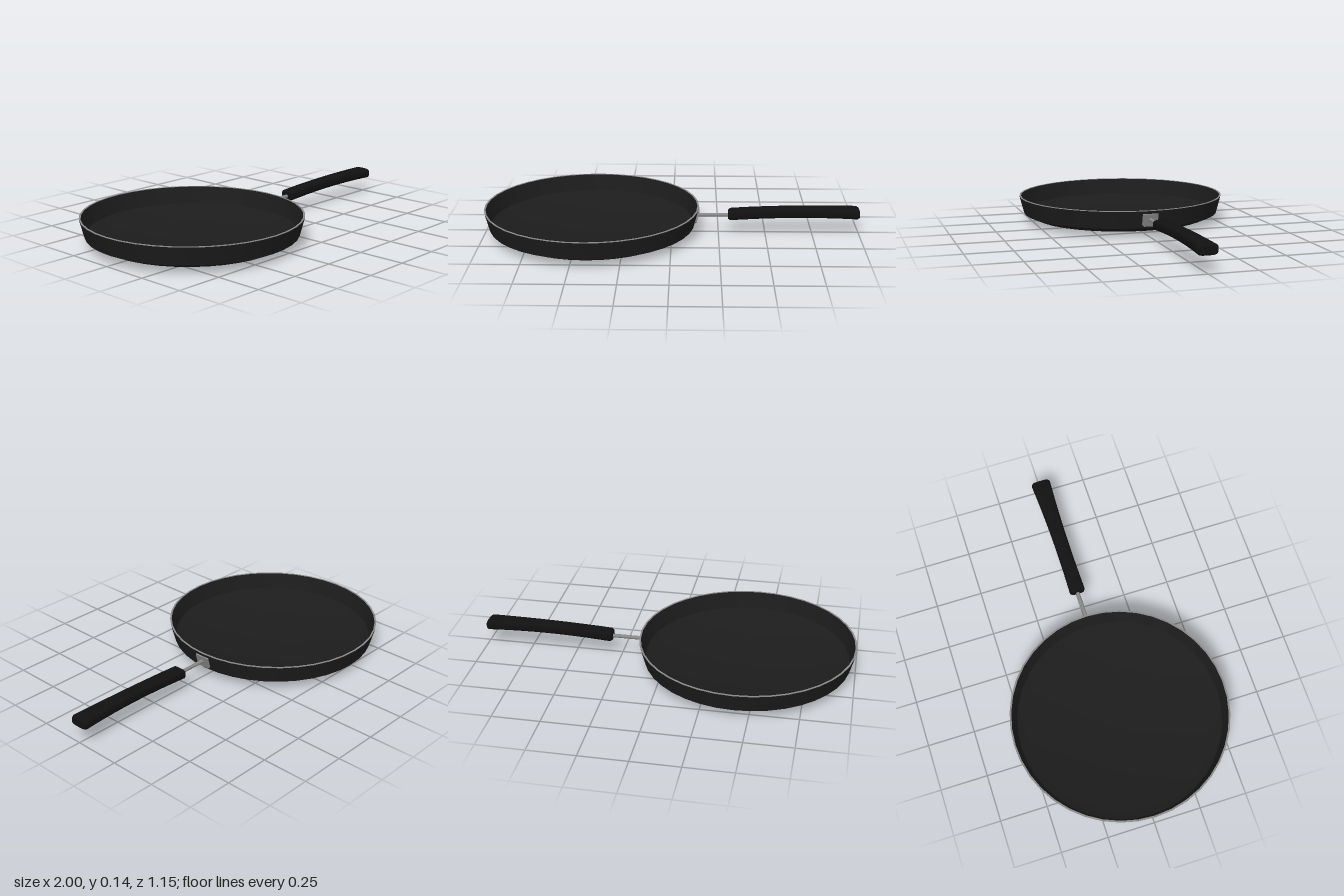
import * as THREE from 'three';
import { toCreasedNormals } from 'three/addons/utils/BufferGeometryUtils.js';

const PAN_X = -0.427;
const SIDES = 40;

function mesh(name, geometry, material) {
  const m = new THREE.Mesh(geometry, material);
  m.name = name;
  return m;
}

function lathe(profile) {
  const points = profile.map(([r, y]) => new THREE.Vector2(r, y));
  return toCreasedNormals(new THREE.LatheGeometry(points, SIDES), 0.45);
}

// Rounded cross-sections along x: [x, centre y, half height, half width]
function loftAlongX(sections, n = 24) {
  const pos = [], index = [];
  const round = (v) => Math.sign(v) * Math.abs(v) ** 0.55;
  sections.forEach(([x, cy, hy, hz], i) => {
    for (let j = 0; j < n; j++) {
      const t = (j / n) * Math.PI * 2;
      pos.push(x, cy + hy * round(Math.sin(t)), hz * round(Math.cos(t)));
      if (i === 0) continue;
      const k = (j + 1) % n, p = (i - 1) * n, q = i * n;
      index.push(p + j, q + j, p + k, p + k, q + j, q + k);
    }
  });
  const g = new THREE.BufferGeometry();
  g.setAttribute('position', new THREE.Float32BufferAttribute(pos, 3));
  g.setIndex(index);
  return toCreasedNormals(g, 0.7);
}

export function createModel() {
  const group = new THREE.Group();
  const black = new THREE.MeshStandardMaterial({ color: 0x1c1c1c });
  const grip = new THREE.MeshStandardMaterial({ color: 0x111111 });
  const steel = new THREE.MeshStandardMaterial({ color: 0x888888 });

  // Pan body: shallow conical underside, bevel, flared wall, then the inside
  const body = mesh('panBody', lathe([
    [0, 0.003], [0.49, 0.024], [0.548, 0.05], [0.573, 0.146],
    [0.564, 0.146], [0.539, 0.058], [0.485, 0.034], [0, 0.014],
  ]), black);
  body.position.x = PAN_X;
  group.add(body);

  // Bare metal edge on top of the wall
  const rim = mesh('rim', lathe([
    [0.573, 0.145], [0.573, 0.148], [0.564, 0.148], [0.564, 0.145],
  ]), steel);
  rim.position.x = PAN_X;
  group.add(rim);

  // Mounting plate, tilted with the wall and narrower at the bottom
  const outline = new THREE.Shape([
    [-0.034, -0.036], [0.034, -0.036], [0.042, -0.026],
    [0.042, 0.034], [-0.042, 0.034], [-0.042, -0.026],
  ].map(([x, y]) => new THREE.Vector2(x, y)));
  const plate = mesh('mountingPlate',
    new THREE.ExtrudeGeometry(outline, { depth: 0.008, bevelEnabled: false }), steel);
  plate.rotation.set(0, Math.PI / 2, -0.25, 'ZYX');
  plate.position.set(0.132, 0.097, 0);
  group.add(plate);

  // Rod between pan and grip
  const rod = mesh('handleRod', new THREE.CylinderGeometry(0.01, 0.01, 0.2, 12), steel);
  rod.rotation.z = Math.PI / 2;
  rod.position.set(0.23, 0.098, 0);
  group.add(rod);

  // Arched grip with softened ends
  const sections = [[0.302, 0.102, 0, 0], [0.302, 0.102, 0.02, 0.035], [0.312, 0.103, 0.027, 0.042]];
  const steps = 10;
  for (let i = 1; i <= steps; i++) {
    const t = i / steps;
    const y = 0.103 + 0.012 * t + 0.036 * t * (1 - t);
    const width = 0.042 - 0.02 * t + 0.031 * t * t;
    sections.push([0.312 + 0.676 * t, y, 0.028, width]);
  }
  sections.push([1, 0.114, 0.02, 0.046], [1, 0.114, 0, 0]);
  group.add(mesh('handleGrip', loftAlongX(sections), grip));

  return group;
}
